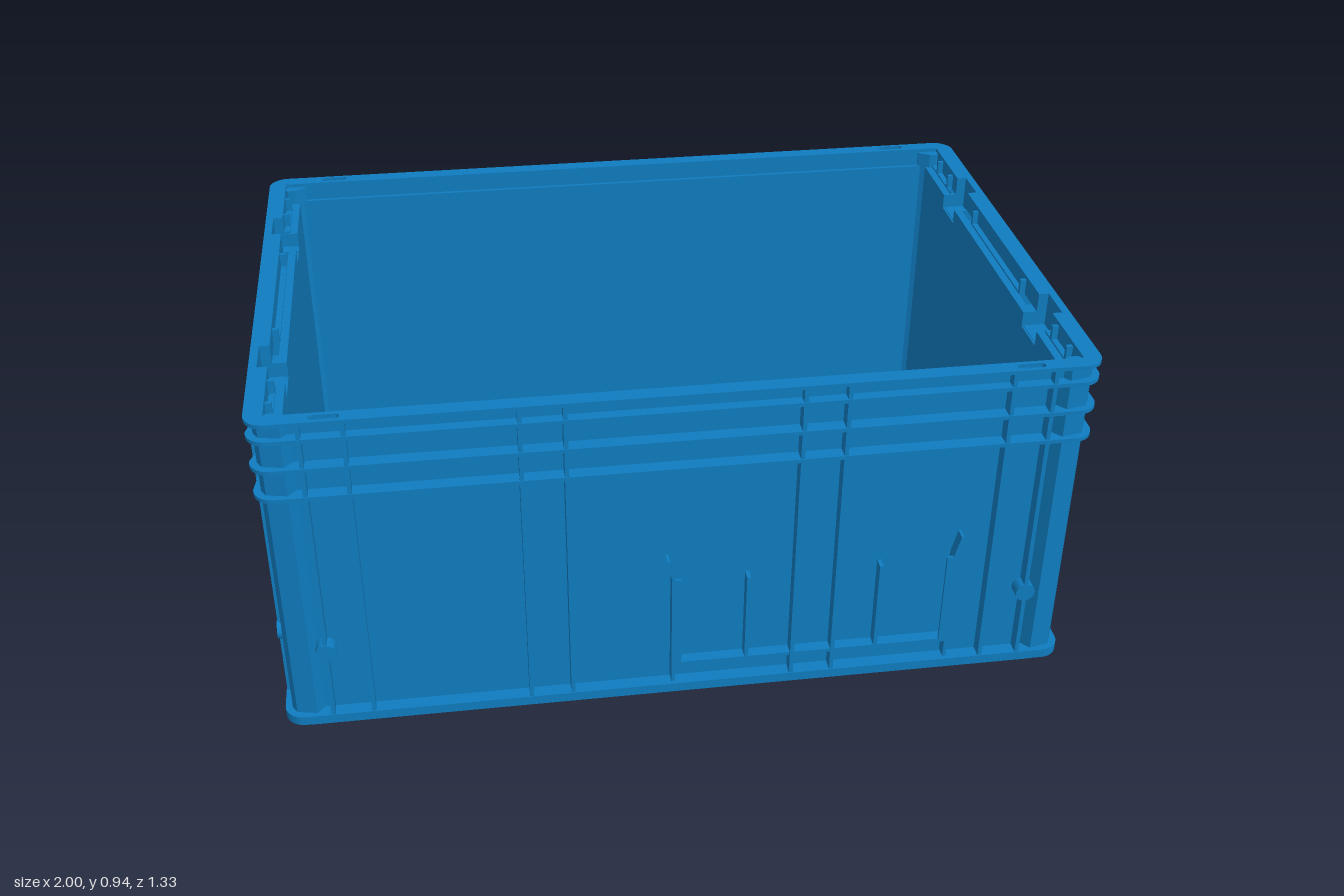
import * as THREE from 'three';

const X = 1, Z = 0.665;            // outer half sizes
const WX = 0.94, WZ = 0.63;        // outer face of the walls
const RIB = 0.01;                  // rib thickness
const material = new THREE.MeshStandardMaterial({ color: 0x0f7cc0 });

export function createModel() {
  const crate = new THREE.Group();
  crate.name = 'storageCrate';

  const add = (name, geometry, parent = crate) => {
    const mesh = new THREE.Mesh(geometry, material);
    mesh.name = name;
    parent.add(mesh);
    return mesh;
  };
  // Box given by its limits on each axis
  const box = (name, x0, x1, y0, y1, z0, z1, parent) =>
    add(name, new THREE.BoxGeometry(x1 - x0, y1 - y0, z1 - z0)
      .translate((x0 + x1) / 2, (y0 + y1) / 2, (z0 + z1) / 2), parent);
  // Plan shape raised from y0 to y1
  const slab = (name, shape, y0, y1) =>
    add(name, new THREE.ExtrudeGeometry(shape, { depth: y1 - y0, bevelEnabled: false, curveSegments: 6 })
      .rotateX(-Math.PI / 2).translate(0, y0, 0));

  const roundedRect = (hx, hz, r) => {
    const s = new THREE.Shape();
    s.absarc(hx - r, hz - r, r, 0, Math.PI / 2);
    s.absarc(-hx + r, hz - r, r, Math.PI / 2, Math.PI);
    s.absarc(-hx + r, -hz + r, r, Math.PI, Math.PI * 1.5);
    s.absarc(hx - r, -hz + r, r, Math.PI * 1.5, Math.PI * 2);
    s.closePath();
    return s;
  };
  // Rectangle whose ends bulge to px between z0 and z1 (the latch pockets)
  const pocketRect = (hx, hz, px, z0, z1) => {
    const end = [[hx, -hz], [hx, -z1], [px, -z1], [px, -z0], [hx, -z0],
      [hx, z0], [px, z0], [px, z1], [hx, z1], [hx, hz]];
    const pts = [...end, ...end.map(([x, z]) => [-x, -z])];
    return new THREE.Shape(pts.map(([x, z]) => new THREE.Vector2(x, z)));
  };
  const withHole = (shape, ...holes) => {
    shape.holes.push(...holes);
    return shape;
  };

  // Foot, with a shallow recess in the middle of each end
  const foot = new THREE.Shape([[0.94, -0.61], [0.94, -0.275], [0.925, -0.265], [0.925, 0.265], [0.94, 0.275], [0.94, 0.61],
    [-0.94, 0.61], [-0.94, 0.275], [-0.925, 0.265], [-0.925, -0.265], [-0.94, -0.275], [-0.94, -0.61]]
    .map(([x, z]) => new THREE.Vector2(x, z)));
  slab('foot', foot, 0, 0.05);
  slab('floor', roundedRect(X, Z, 0.05), 0.05, 0.075);

  // Walls, stepped lip and flat top rim
  slab('walls', withHole(roundedRect(WX, WZ, 0.01), roundedRect(0.92, 0.615, 0.005)), 0.075, 0.845);
  slab('upperWalls', withHole(pocketRect(WX, WZ, 0.99, 0.295, 0.415),
    pocketRect(0.92, 0.615, 0.98, 0.305, 0.405)), 0.845, 0.885);
  slab('lip', withHole(pocketRect(0.965, 0.638, 0.99, 0.295, 0.415),
    pocketRect(0.955, 0.625, 0.98, 0.305, 0.405)), 0.885, 0.925);
  const rim = withHole(roundedRect(X, Z, 0.05), pocketRect(0.955, 0.625, 0.98, 0.305, 0.405));
  for (const sx of [-1, 1]) for (const sz of [-1, 1]) {
    const slot = new THREE.Path();
    slot.absarc(sx * 0.82 + 0.025, sz * 0.646, 0.01, -Math.PI / 2, Math.PI / 2);
    slot.absarc(sx * 0.82 - 0.025, sz * 0.646, 0.01, Math.PI / 2, Math.PI * 1.5);
    rim.holes.push(slot);
  }
  slab('topRim', rim, 0.925, 0.935);

  // Horizontal ribs: a long side plus both corners, running along the ends to z = zEnd
  const wrapRib = (y, zEnd) => {
    const r = 0.05, s = new THREE.Shape();
    s.moveTo(X, zEnd);
    s.absarc(X - r, Z - r, r, 0, Math.PI / 2);
    s.absarc(-X + r, Z - r, r, Math.PI / 2, Math.PI);
    s.lineTo(-X, zEnd);
    s.lineTo(-WX, zEnd);
    s.lineTo(-WX, WZ);
    s.lineTo(WX, WZ);
    s.lineTo(WX, zEnd);
    for (const turn of [0, Math.PI])
      slab('horizontalRib', s, y - RIB / 2, y + RIB / 2).rotation.y = turn;
  };
  wrapRib(0.728, 0.2);
  wrapRib(0.806, 0.45);
  wrapRib(0.885, 0.41);

  // Wavy grip rib on the ends
  const wave = [[-0.205, 0.728], [-0.18, 0.742], [-0.15, 0.746], [-0.1, 0.738], [-0.05, 0.728],
    [0.05, 0.728], [0.1, 0.738], [0.15, 0.746], [0.18, 0.742], [0.205, 0.728]];
  const gripShape = new THREE.Shape([...wave.map(([z, y]) => new THREE.Vector2(z, y - 0.005)),
    ...wave.slice().reverse().map(([z, y]) => new THREE.Vector2(z, y + 0.005))]);

  // Round stud standing out from a wall
  const stud = (x, z, onEnd) => {
    const g = new THREE.CylinderGeometry(0.025, 0.025, onEnd ? 0.06 : 0.035, 20);
    if (onEnd) g.rotateZ(Math.PI / 2); else g.rotateX(Math.PI / 2);
    add('stud', g.translate(x, 0.27, z));
  };

  for (const s of [-1, 1]) {
    // Long sides
    const z0 = s > 0 ? WZ : -Z + 0.002, z1 = s > 0 ? Z - 0.002 : -WZ;
    for (const x of [0.28, 0.385, 0.78, 0.88]) for (const m of [-1, 1])
      box('sideRib', m * x - RIB / 2, m * x + RIB / 2, 0.075, 0.925, z0, z1);
    for (const x of [-0.88, 0.88]) stud(x, s * (WZ + 0.0175), false);

    // Ends
    const x0 = s > 0 ? WX : -X + 0.002, x1 = s > 0 ? X - 0.002 : -WX;
    const endBox = (name, y0, y1, a, b) => box(name, x0, x1, y0, y1, a, b);
    add('gripRib', new THREE.ExtrudeGeometry(gripShape, { depth: 0.06, bevelEnabled: false })
      .rotateY(Math.PI / 2).translate(s > 0 ? WX : -X, 0, 0));
    endBox('gripTopRib', 0.88, 0.89, -0.205, 0.205);
    for (const m of [-1, 1]) {
      for (const z of [0.45, 0.55])
        endBox('endRib', 0.075, 0.925, m * z - RIB / 2, m * z + RIB / 2);
      endBox('gripSideRib', 0.728, 0.925, m * 0.205 - RIB / 2, m * 0.205 + RIB / 2);
      endBox('pocketRib', 0.843, 0.853, Math.min(m * 0.2, m * 0.295), Math.max(m * 0.2, m * 0.295));
      endBox('pocketRib', 0.843, 0.853, Math.min(m * 0.415, m * 0.45), Math.max(m * 0.415, m * 0.45));
      const pa = s > 0 ? 0.925 : -0.99, pb = s > 0 ? 0.99 : -0.925;
      box('pocketFloor', pa, pb, 0.833, 0.847, m * 0.355 - 0.06, m * 0.355 + 0.06);
      stud(s * (WX + 0.03), m * 0.55, true);

      // Corner posts
      const corner = [[0.93, 0.6], [0.95, 0.6], [0.982, 0.622], [0.97, 0.642], [0.92, 0.653], [0.9, 0.63], [0.9, 0.62]]
        .map(([x, z]) => new THREE.Vector2(s * x, m * z));
      slab('cornerPost', new THREE.Shape(corner), 0.075, 0.925);
    }
  }

  // Card holder, built facing +z around its own centre line
  const cardHolder = (depth) => {
    const holder = new THREE.Group();
    holder.name = 'cardHolder';
    box('holderBase', -0.36, 0.36, 0.13, 0.14, 0, depth, holder);
    for (const m of [-1, 1]) {
      const arm = new THREE.Shape([[0.36, 0.08], [0.36, 0.4], [0.372, 0.46], [0.366, 0.46], [0.351, 0.4], [0.351, 0.08]]
        .map(([x, y]) => new THREE.Vector2(m * x, y)));
      add('holderArm', new THREE.ExtrudeGeometry(arm, { depth, bevelEnabled: false }), holder);
      const a = m * 0.347;
      box('holderLip', a - 0.012, a + 0.012, 0.13, 0.4, depth - 0.007, depth, holder);
      box('holderFin', m * 0.168 - 0.005, m * 0.168 + 0.005, 0.13, 0.39, 0, depth, holder);
    }
    crate.add(holder);
    return holder;
  };
  cardHolder(0.03).position.set(0.33, 0, WZ);
  const endHolder = cardHolder(0.04);
  endHolder.position.set(-WX, 0, 0);
  endHolder.rotation.y = -Math.PI / 2;

  return crate;
}
